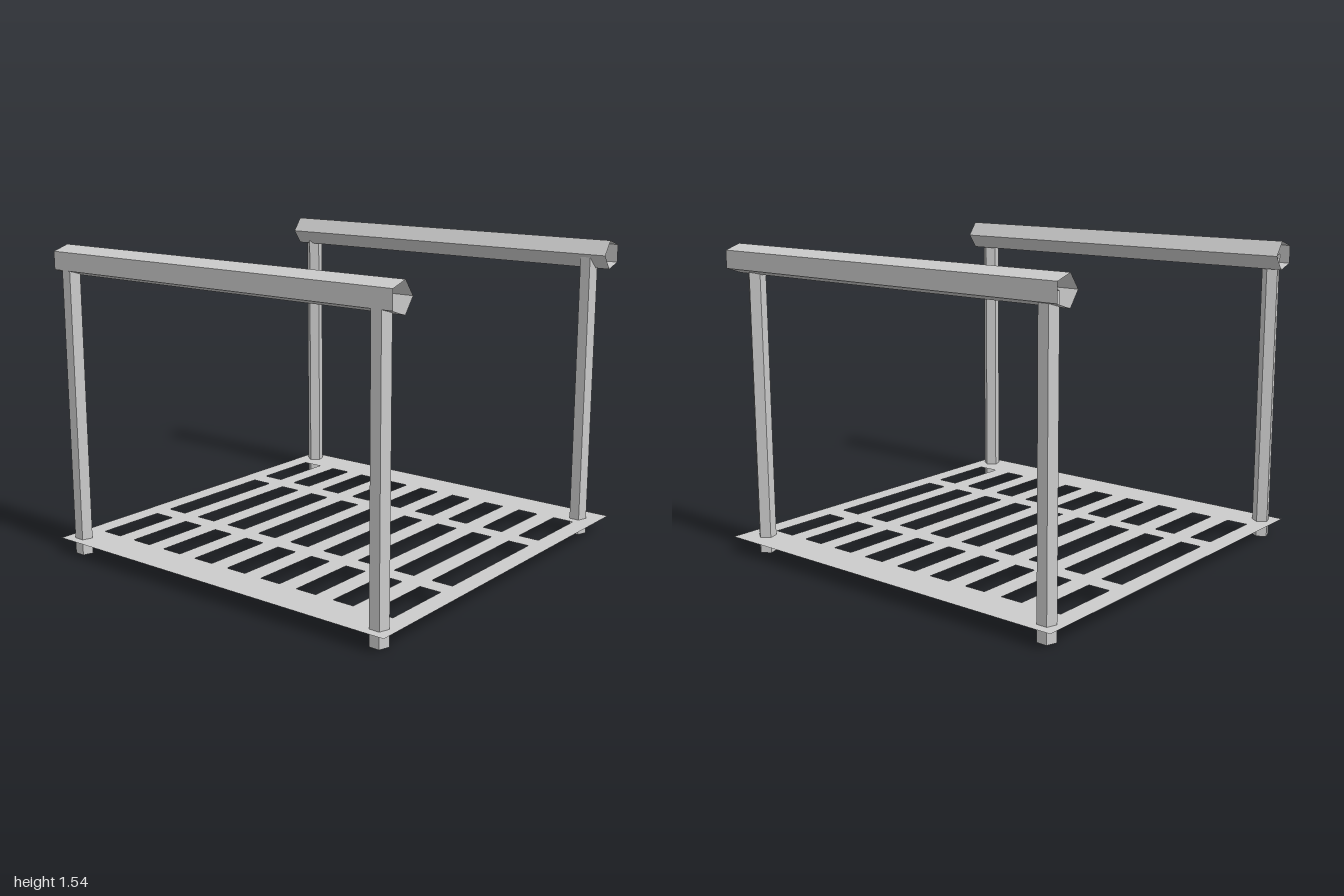
import * as THREE from 'three';

const material = new THREE.MeshStandardMaterial({ color: 0xcccccc, flatShading: true, side: THREE.DoubleSide });

// Open five-sided tube standing along y, with one corner pointing to +z or -z
function fiveSidedTube(radius, length, cornerSign) {
  const start = cornerSign > 0 ? 0 : Math.PI;
  return new THREE.CylinderGeometry(radius, radius, length, 5, 1, true, start);
}

function addMesh(parent, name, geometry, x, y, z) {
  const mesh = new THREE.Mesh(geometry, material);
  mesh.name = name;
  mesh.position.set(x, y, z);
  parent.add(mesh);
}

// Thin square deck with three rows of nine slots
function deckGeometry() {
  const shape = new THREE.Shape([[-1, -1], [1, -1], [1, 1], [-1, 1]].map(([x, y]) => new THREE.Vector2(x, y)));
  const rows = [[-0.8, -0.44], [-0.34, 0.34], [0.435, 0.8]];
  for (const [z0, z1] of rows) {
    for (let i = -4; i <= 4; i++) {
      const x0 = i * 0.2115 - 0.056, x1 = x0 + 0.112;
      // shape y becomes -z once the deck is laid flat
      shape.holes.push(new THREE.Path([
        new THREE.Vector2(x0, -z0), new THREE.Vector2(x1, -z0),
        new THREE.Vector2(x1, -z1), new THREE.Vector2(x0, -z1),
      ]));
    }
  }
  return new THREE.ShapeGeometry(shape).rotateX(-Math.PI / 2);
}

export function createModel() {
  const model = new THREE.Group();
  model.name = 'slattedRackWithRails';

  addMesh(model, 'slottedDeck', deckGeometry(), 0, 0.08, 0);

  // Posts reach from the ground to the middle of the rails
  const postHeight = 1.47;
  const posts = [
    ['frontLeftPost', 0.919, 0.92, -1],
    ['frontRightPost', -0.919, 0.92, -1],
    ['backLeftPost', 0.886, -0.88, -1],
    ['backRightPost', -0.919, -0.917, 1],
  ];
  for (const [name, x, z, corner] of posts) {
    addMesh(model, name, fiveSidedTube(0.045, postHeight, corner), x, postHeight / 2, z);
  }

  // Rails: flat side outward, corner inward
  for (const [name, z, corner] of [['frontRail', 0.896, -1], ['backRail', -0.907, 1]]) {
    addMesh(model, name, fiveSidedTube(0.075, 2, corner).rotateZ(Math.PI / 2), 0, postHeight, z);
  }
  return model;
}
